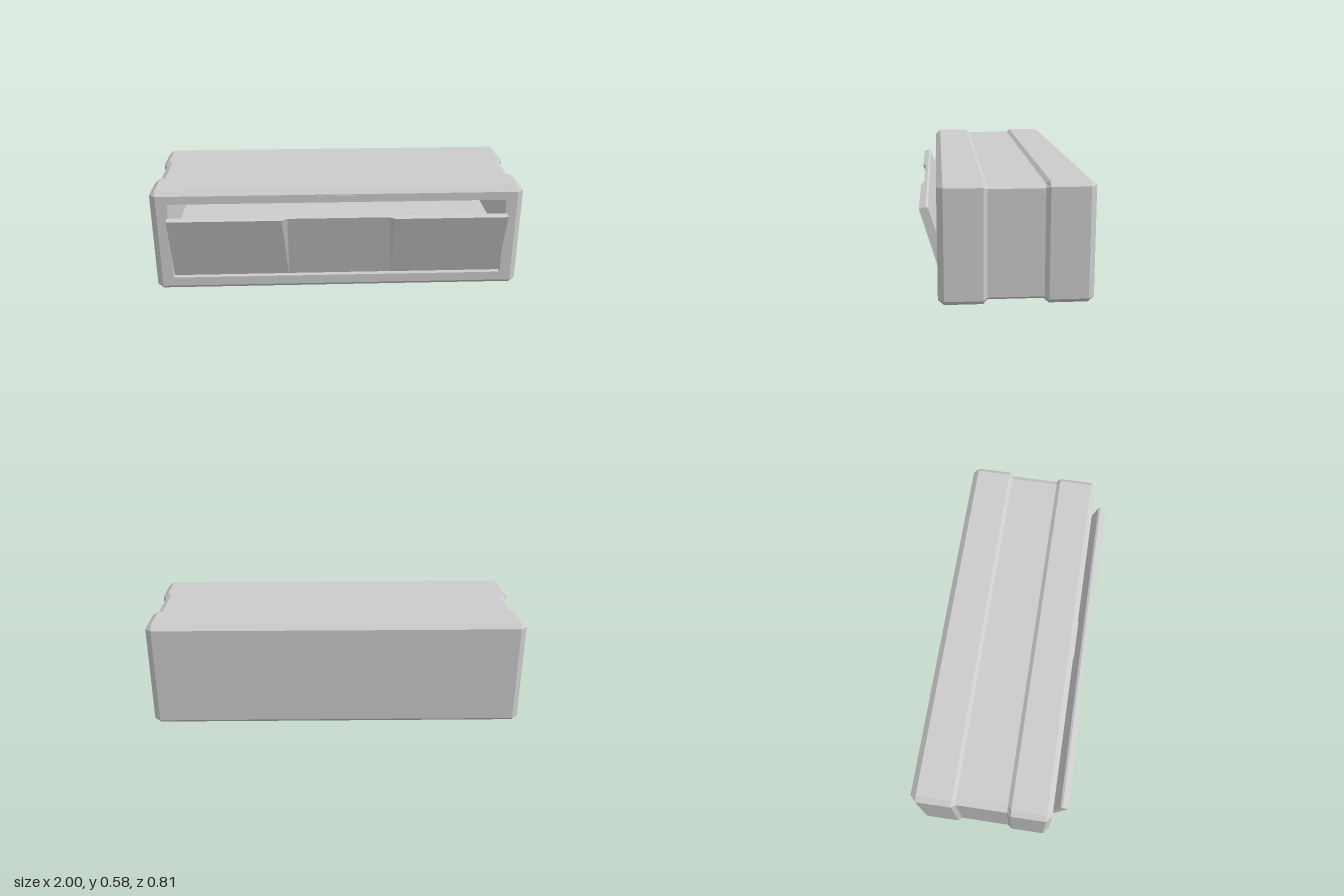
import * as THREE from 'three';

const material = new THREE.MeshStandardMaterial({ color: 0xcccccc, flatShading: true });

// Skin a list of equal-length point rings and cap both ends.
function loft(rings) {
  const pos = [];
  const tri = (a, b, c) => {
    const n = b.clone().sub(a).cross(c.clone().sub(a));
    if (n.length() > 1e-9) for (const p of [a, b, c]) pos.push(p.x, p.y, p.z);
  };
  const first = rings[0], last = rings[rings.length - 1], count = first.length;
  for (let k = 0; k < rings.length - 1; k++) {
    for (let i = 0; i < count; i++) {
      const j = (i + 1) % count;
      tri(rings[k][i], rings[k][j], rings[k + 1][j]);
      tri(rings[k][i], rings[k + 1][j], rings[k + 1][i]);
    }
  }
  for (let i = 1; i < count - 1; i++) {
    tri(first[0], first[i + 1], first[i]);
    tri(last[0], last[i], last[i + 1]);
  }
  const geometry = new THREE.BufferGeometry();
  geometry.setAttribute('position', new THREE.Float32BufferAttribute(pos, 3));
  geometry.computeVertexNormals();
  return geometry;
}

// Rectangle with cut corners at depth z, counter-clockwise from the front.
function section(z, hx, y0, y1, cx = 0, cy = 0) {
  return [
    [hx, y0 + cy], [hx, y1 - cy], [hx - cx, y1], [cx - hx, y1],
    [-hx, y1 - cy], [-hx, y0 + cy], [cx - hx, y0], [hx - cx, y0],
  ].map(([x, y]) => new THREE.Vector3(x, y, z));
}

function addMesh(group, name, geometry) {
  const mesh = new THREE.Mesh(geometry, material);
  mesh.name = name;
  group.add(mesh);
  return mesh;
}

export function createModel() {
  const model = new THREE.Group();
  model.name = 'storageCompartment';

  // Bevelled housing with a recessed waist, continuing into the open cavity
  const full = (z) => section(z, 1, 0, 0.58, 0.03, 0.025);
  const waist = (z) => section(z, 0.983, 0.017, 0.565, 0.03, 0.018);
  const endFace = (z) => section(z, 0.967, 0.025, 0.555);
  const opening = (z) => section(z, 0.907, 0.075, 0.51);
  addMesh(model, 'housing', loft([
    endFace(-0.405), full(-0.375), full(-0.19), waist(-0.17), waist(0.095),
    full(0.115), full(0.297), endFace(0.325), opening(0.325), opening(-0.35),
  ]));

  // Raised floor inside the cavity
  const shelf = addMesh(model, 'innerShelf', new THREE.BoxGeometry(1.814, 0.195, 0.57));
  shelf.position.set(0, 0.1725, -0.065);

  // Tilted door with a shallow finger grip along the top edge
  const length = 0.41, thickness = 0.042;
  const doorSection = (x, grip) => [
    [0, -thickness], [length - 0.008, -thickness], [length, -0.032], [length, -grip], [0, 0],
  ].map(([y, z]) => new THREE.Vector3(x, y, z));
  const door = addMesh(model, 'door', loft([
    doorSection(-0.904, 0), doorSection(-0.3, 0), doorSection(-0.27, 0.015),
    doorSection(0.27, 0.015), doorSection(0.3, 0), doorSection(0.904, 0),
  ]));
  door.position.set(0, 0.05, 0.2875);
  door.rotation.x = 0.292;

  // Thin catch plate above the opening
  const catchPlate = addMesh(model, 'catchPlate', new THREE.BoxGeometry(0.21, 0.033, 0.01));
  catchPlate.position.set(0, 0.531, 0.324);

  return model;
}
